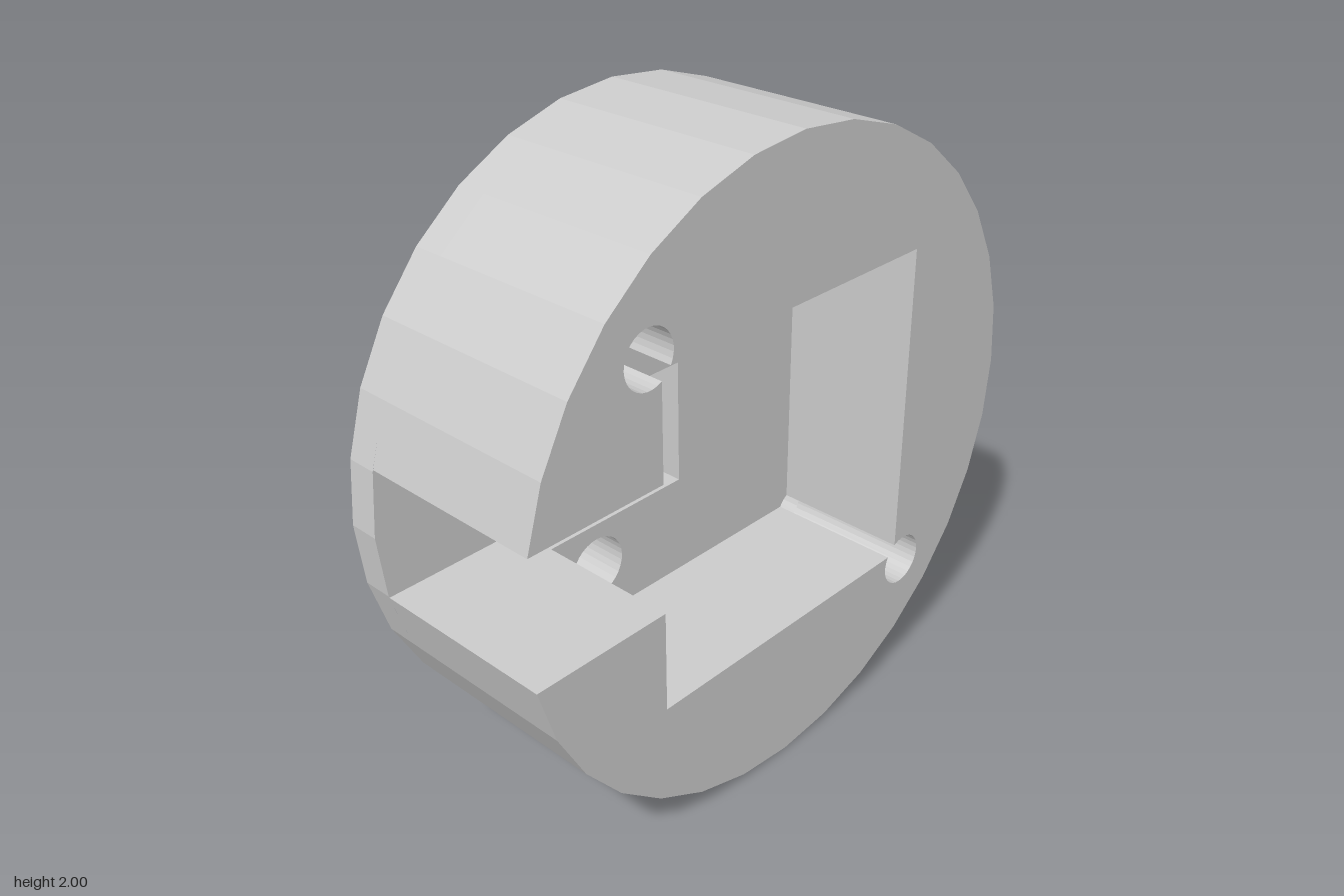
import * as THREE from 'three';

// Sections lie in a (u, v) plane: u runs towards the back (-z), v up, both from the disc centre.
const BACK = -0.347, SLOT = -0.25, BORE = -0.15, POCKET = -0.105, FRONT = 0.347; // levels along x
const P = 0.525;          // pocket half size
const S = 0.2;            // slot half height
const C = 0.567, R = 0.085; // corner screw holes
const material = new THREE.MeshStandardMaterial({ color: 0xcccccc, flatShading: true });

const pt = (u, v) => new THREE.Vector2(u, v);

// Points on an arc from angle a0 to a1
function arc(u, v, r, a0, a1, n) {
  return Array.from({ length: n + 1 }, (_, i) => {
    const a = a0 + (a1 - a0) * i / n;
    return pt(u + r * Math.cos(a), v + r * Math.sin(a));
  });
}
const circle = (u, v, r) => arc(u, v, r, 0, Math.PI * 2, 32).slice(0, -1);
const turned = (pts) => pts.map((p) => pt(-p.x, -p.y)); // half turn about the axis

function addMesh(group, name, geometry) {
  const mesh = new THREE.Mesh(geometry, material);
  mesh.name = name;
  group.add(mesh);
}

// Flat face at level x, facing +x, or -x when flipped
function face(group, name, outline, holes, x, flip = false) {
  const shape = new THREE.Shape(outline);
  shape.holes = holes.map((h) => new THREE.Path(h));
  const g = new THREE.ShapeGeometry(shape);
  if (flip) {
    g.index.array.reverse();
    g.attributes.normal.array.forEach((n, i, a) => { a[i] = -n; });
  }
  g.rotateY(Math.PI / 2).translate(x, 0, 0);
  addMesh(group, name, g);
}

// Side wall along a line of points; solid lies to the left of the line
function wall(group, name, pts, x0, x1, closed = true) {
  const pos = [];
  const count = closed ? pts.length : pts.length - 1;
  for (let i = 0; i < count; i++) {
    const p = pts[i], q = pts[(i + 1) % pts.length];
    const a = [x0, p.y, -p.x], b = [x0, q.y, -q.x], c = [x1, q.y, -q.x], d = [x1, p.y, -p.x];
    pos.push(...a, ...b, ...c, ...a, ...c, ...d);
  }
  const g = new THREE.BufferGeometry();
  g.setAttribute('position', new THREE.Float32BufferAttribute(pos, 3));
  g.computeVertexNormals();
  addMesh(group, name, g);
}

export function createModel() {
  const model = new THREE.Group();
  model.name = 'slottedDisc';
  const body = new THREE.Group();
  body.name = 'body';
  body.position.y = 1;
  model.add(body);

  // Outlines
  const rim = circle(0, 0, 1);
  const mouth = -0.979; // where the slot meets the rim
  const openRim = [pt(mouth, -S), ...arc(0, 0, 1, -Math.PI * 7 / 8, Math.PI * 7 / 8, 28), pt(mouth, S)];
  const slotEnd = [pt(0, S), pt(0, -S)];

  // Where a screw hole breaks through a pocket corner
  const d = C - P, e = Math.sqrt(R * R - d * d);
  const a0 = Math.atan2(-e, d), a1 = Math.atan2(-d, e);
  const notchOut = arc(-C, C, R, a0, a1 - Math.PI * 2, 28);
  const notchIn = arc(-C, C, R, a0, a1, 4);

  const pocketEdge = [pt(mouth, S), pt(-P, S), ...notchOut, pt(P, P),
    ...turned(notchOut), pt(-P, -P), pt(-P, -S), pt(mouth, -S)];
  const pocketFloor = [...slotEnd.slice().reverse(), pt(-P, S), ...notchIn, pt(P, P),
    ...turned(notchIn), pt(-P, -P), pt(-P, -S)];

  const smallHoles = [circle(-0.35, 0.35, 0.1), circle(-0.35, -0.35, 0.1)];
  const screwHoles = [circle(-C, C, R), circle(C, -C, R)];
  const counterbores = [circle(-C, C, 0.17), circle(C, -C, 0.17)];

  // Faces
  face(body, 'backFace', rim, [...smallHoles, ...counterbores], BACK, true);
  face(body, 'frontFace', [...openRim, ...pocketEdge.slice(1, -1)], [], FRONT);
  face(body, 'pocketFloor', pocketFloor, smallHoles, POCKET);
  const lip = [pt(mouth, S), pt(-Math.cos(Math.PI / 16), Math.sin(Math.PI / 16)), pt(-1, 0),
    pt(-Math.cos(Math.PI / 16), -Math.sin(Math.PI / 16)), pt(mouth, -S)];
  face(body, 'slotFloor', [...lip, ...slotEnd.slice().reverse()], [], SLOT);

  // Outer and inner walls
  wall(body, 'lowerRim', rim, BACK, SLOT);
  wall(body, 'upperRim', openRim, SLOT, FRONT, false);
  wall(body, 'slotWall', [pt(mouth, S), ...slotEnd, pt(mouth, -S)], SLOT, POCKET, false);
  wall(body, 'pocketWall', pocketEdge, POCKET, FRONT, false);

  // Holes through the floor, and counterbored screw holes at two corners
  smallHoles.forEach((h) => wall(body, 'smallHole', h.slice().reverse(), BACK, POCKET));
  screwHoles.forEach((h, i) => {
    wall(body, 'screwHole', h.slice().reverse(), BORE, POCKET);
    wall(body, 'counterbore', counterbores[i].slice().reverse(), BACK, BORE);
    face(body, 'counterboreFloor', counterbores[i], [h], BORE, true);
  });
  return model;
}
